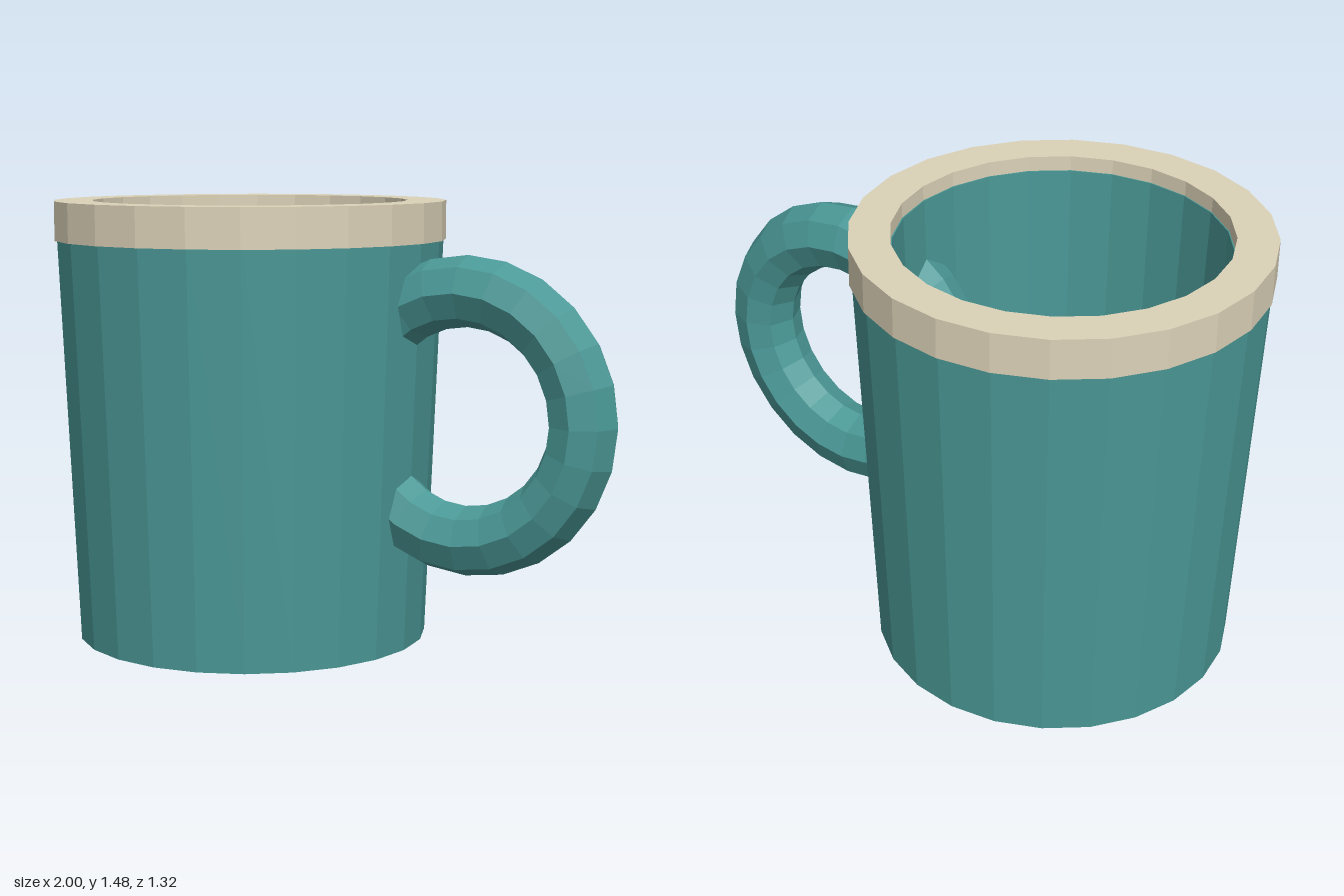
import * as THREE from 'three';

const SIDES = 24;
const CENTER_X = -0.34;

const teal = new THREE.MeshStandardMaterial({ color: 0x4a9896, flatShading: true });
const cream = new THREE.MeshStandardMaterial({ color: 0xdcd2b8, flatShading: true });

// Faceted solid of revolution from [radius, y] pairs, running up the outside
function turned(name, points, material) {
  const profile = points.map(([r, y]) => new THREE.Vector2(r, y));
  const mesh = new THREE.Mesh(new THREE.LatheGeometry(profile, SIDES), material);
  mesh.name = name;
  mesh.position.x = CENTER_X;
  return mesh;
}

export function createModel() {
  const mug = new THREE.Group();
  mug.name = 'mug';

  // Tapered hollow body: base, outer wall, lip, inner wall, floor
  mug.add(turned('body', [
    [0.005, 0], [0.595, 0], [0.655, 1.43], [0.526, 1.43], [0.49, 0.1], [0.005, 0.1],
  ], teal));

  // Contrasting rim band, a closed ring capping the body
  mug.add(turned('rim', [
    [0.53, 1.35], [0.66, 1.35], [0.66, 1.48], [0.53, 1.48], [0.53, 1.35],
  ], cream));

  // Ring handle passing through the wall
  const handle = new THREE.Mesh(new THREE.TorusGeometry(0.405, 0.115, 8, SIDES), teal);
  handle.name = 'handle';
  handle.position.set(0.48, 0.8, 0);
  mug.add(handle);

  return mug;
}
